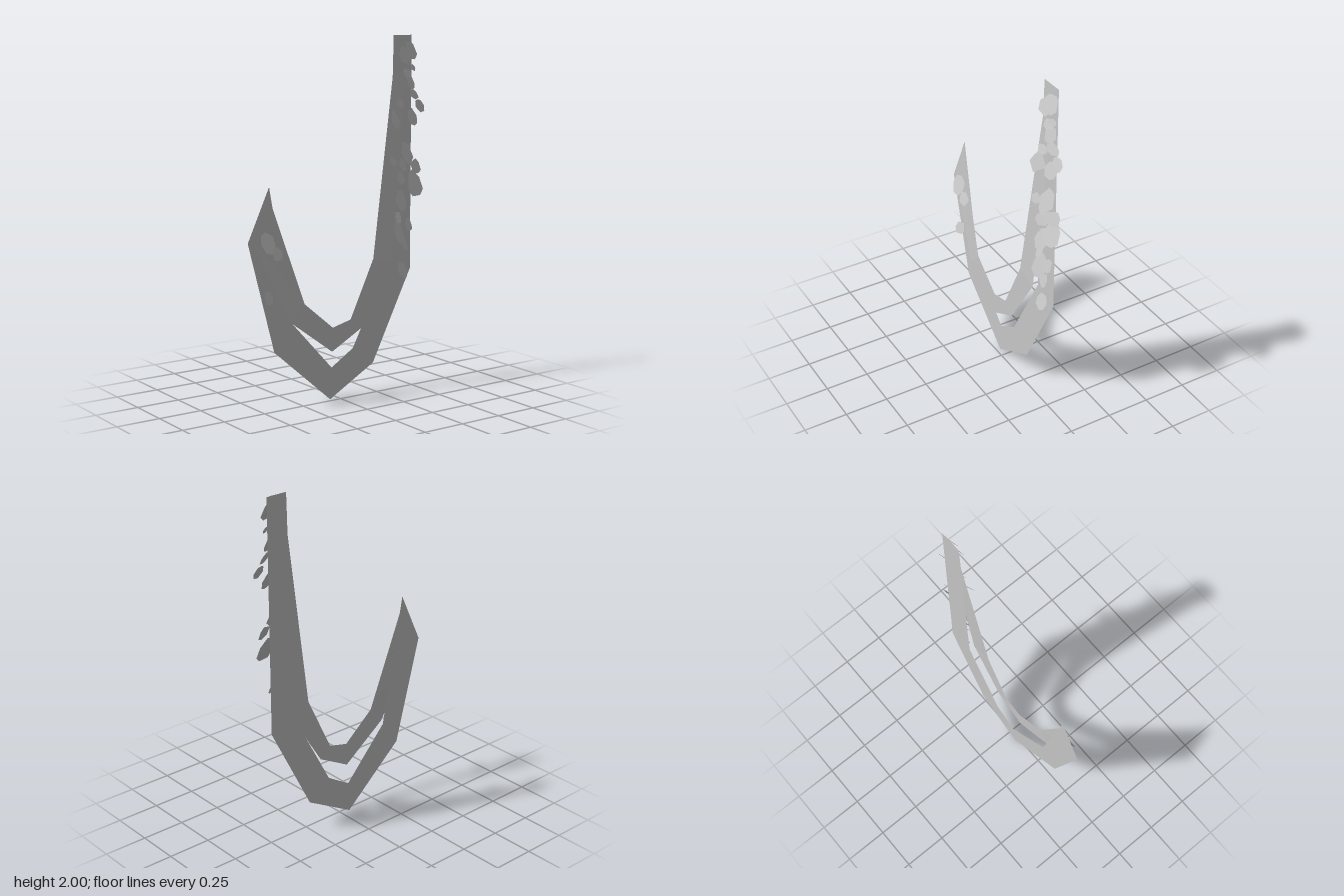
import * as THREE from 'three';

const stone = new THREE.MeshStandardMaterial({ color: 0xc8c8c8, side: THREE.DoubleSide, flatShading: true });
stone.name = 'lightGrey';

// Ribbon joining an inner and an outer edge; rows are [xInner, yInner, xOuter, yOuter, z]
function ribbon(name, rows) {
  const pos = [], index = [];
  rows.forEach(([xi, yi, xo, yo, z], i) => {
    pos.push(xi, yi, z, xo, yo, z);
    if (i) {
      const a = 2 * i - 2;
      index.push(a, a + 1, a + 2, a + 1, a + 3, a + 2);
    }
  });
  const g = new THREE.BufferGeometry();
  g.setAttribute('position', new THREE.Float32BufferAttribute(pos, 3));
  g.setIndex(index);
  g.computeVertexNormals();
  const mesh = new THREE.Mesh(g, stone);
  mesh.name = name;
  return mesh;
}

// Small repeatable variation
let seed = 7;
const rand = () => (seed = (seed * 16807) % 2147483647) / 2147483647;

// Flat, irregular, many-cornered flake leaning back and turned a little
function flake([x, y, w, h]) {
  const n = 6 + Math.floor(rand() * 2), turn = rand() * 2, pts = [];
  for (let i = 0; i < n; i++) {
    const a = turn + ((i + (rand() - 0.5) * 0.6) / n) * Math.PI * 2;
    const r = 0.92 + rand() * 0.28;
    pts.push(new THREE.Vector2(Math.cos(a) * w * r, Math.sin(a) * h * r));
  }
  const mesh = new THREE.Mesh(new THREE.ShapeGeometry(new THREE.Shape(pts)), stone);
  mesh.position.set(x, y, 0.003);
  mesh.rotation.set(-0.36, 0.1 + rand() * 0.3, 0);
  mesh.name = 'flake';
  return mesh;
}

export function createModel() {
  const model = new THREE.Group();
  model.name = 'hookedRibbons';

  // Wide hook at the back
  model.add(ribbon('outerRibbon', [
    [-0.445, 1.22, -0.58, 0.93, -0.024],
    [-0.31, 0.47, -0.42, 0.32, -0.024],
    [-0.045, 0.18, -0.055, 0, -0.024],
    [0.1, 0.27, 0.24, 0.165, -0.024],
    [0.345, 0.73, 0.5, 0.68, -0.024],
    [0.375, 2, 0.5, 2, -0.024],
  ]));

  // Narrow hook in front, its ends nearly meeting the back one
  model.add(ribbon('innerRibbon', [
    [-0.455, 1.18, -0.55, 0.94, -0.02],
    [-0.245, 0.57, -0.33, 0.475, 0.01],
    [-0.06, 0.415, -0.065, 0.28, 0.01],
    [0.06, 0.445, 0.13, 0.385, 0.01],
    [0.215, 0.77, 0.345, 0.73, 0.01],
    [0.37, 1.8, 0.46, 1.8, -0.02],
    [0.375, 2, 0.48, 2, -0.021],
  ]));

  // Flakes: centre x, y and half width, half height
  const flakes = new THREE.Group();
  flakes.name = 'flakes';
  [
    [0.43, 1.89, 0.042, 0.057], [0.475, 1.915, 0.042, 0.05], [0.49, 1.82, 0.025, 0.02],
    [0.45, 1.79, 0.03, 0.03], [0.475, 1.74, 0.035, 0.045], [0.5, 1.67, 0.04, 0.03],
    [0.54, 1.605, 0.04, 0.04], [0.49, 1.545, 0.046, 0.05], [0.375, 1.535, 0.046, 0.06],
    [0.405, 1.625, 0.03, 0.027], [0.45, 1.34, 0.047, 0.063], [0.36, 1.305, 0.033, 0.03],
    [0.515, 1.265, 0.045, 0.045], [0.42, 1.28, 0.03, 0.04], [0.51, 1.17, 0.058, 0.08],
    [0.41, 1.205, 0.04, 0.04], [0.41, 1.08, 0.042, 0.06], [0.39, 0.99, 0.025, 0.035],
    [0.4, 0.9, 0.046, 0.07], [0.465, 0.94, 0.03, 0.045], [0.44, 0.83, 0.025, 0.04],
    [0.425, 0.685, 0.035, 0.05],
    [-0.47, 0.93, 0.048, 0.06], [-0.41, 0.865, 0.038, 0.042], [-0.47, 0.63, 0.032, 0.036],
  ].forEach((f) => flakes.add(flake(f)));
  model.add(flakes);

  return model;
}
